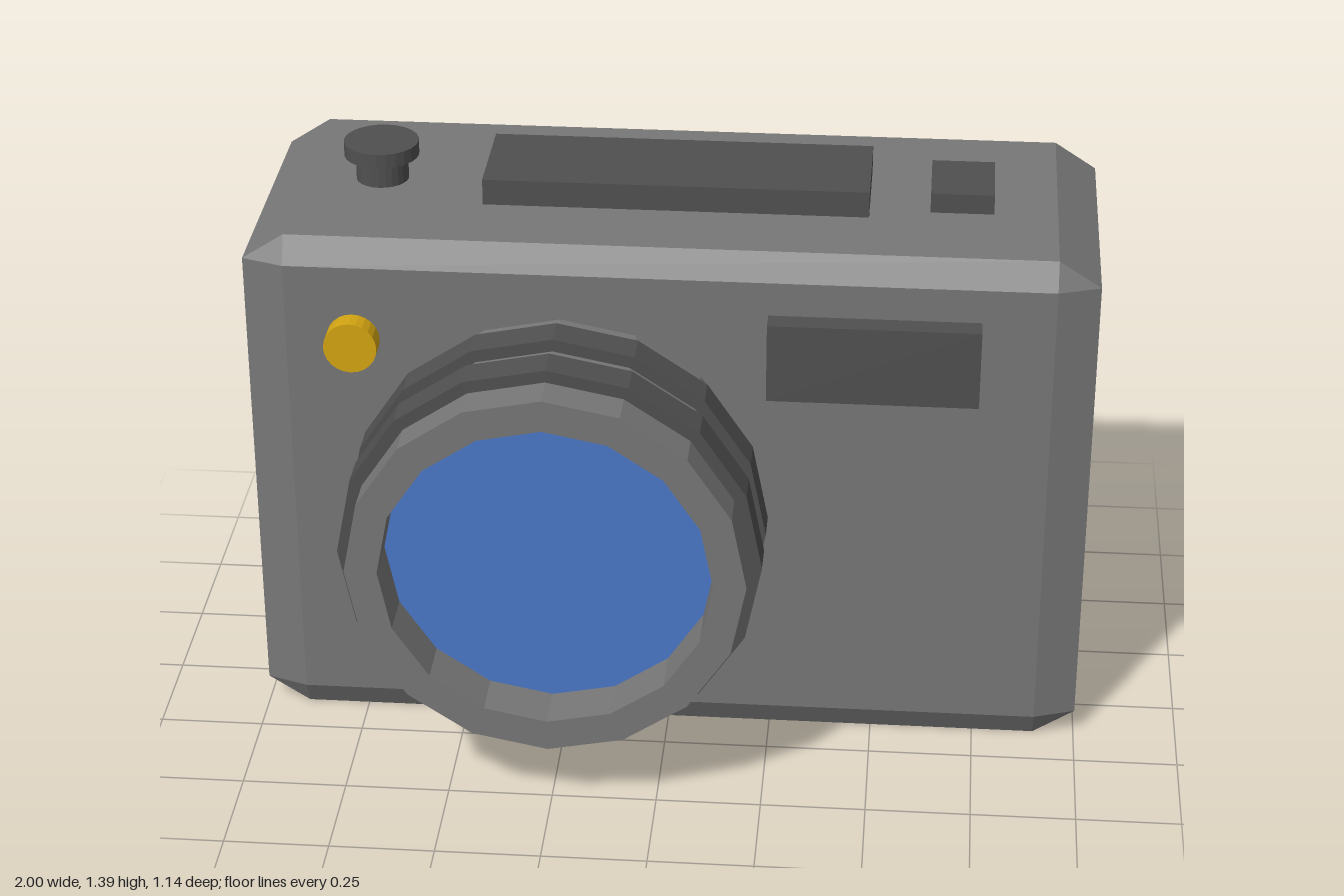
import * as THREE from 'three';
import { ConvexGeometry } from 'three/addons/geometries/ConvexGeometry.js';

const paint = (color) => new THREE.MeshStandardMaterial({ color, flatShading: true });

export function createModel() {
  const model = new THREE.Group();
  model.name = 'camera';
  const shell = paint(0x777777);
  const trim = paint(0x505050);
  const amber = paint(0xd4a512);
  const blue = paint(0x4b78c8);

  function add(name, geometry, material, x, y, z, parent = model) {
    const mesh = new THREE.Mesh(geometry, material);
    mesh.name = name;
    mesh.position.set(x, y, z);
    parent.add(mesh);
    return mesh;
  }

  // Box given by its lower and upper corners
  function block(name, material, x0, x1, y0, y1, z0, z1) {
    add(name, new THREE.BoxGeometry(x1 - x0, y1 - y0, z1 - z0), material,
      (x0 + x1) / 2, (y0 + y1) / 2, (z0 + z1) / 2);
  }

  // Chamfered body: three points per corner, each reaching one full face
  const half = [1, 0.644, 0.368];
  const cut = [0.1, 0.065, 0.035];
  const points = [];
  for (const sx of [-1, 1]) for (const sy of [-1, 1]) for (const sz of [-1, 1]) {
    for (let full = 0; full < 3; full++) {
      const [x, y, z] = half.map((h, axis) => (axis === full ? h : h - cut[axis]));
      points.push(new THREE.Vector3(sx * x, sy * y, sz * z));
    }
  }
  add('body', new ConvexGeometry(points), shell, 0, 0.644, -0.203);

  // Lens, turned so that its axis points forward
  const lens = new THREE.Group();
  lens.name = 'lens';
  lens.position.set(-0.25, 0.645, 0);
  lens.rotation.x = Math.PI / 2;
  model.add(lens);
  const barrel = [[0.465, 0.15], [0.465, 0.57], [0.388, 0.57], [0.388, 0.45]]
    .map(([r, h]) => new THREE.Vector2(r, h));
  const barrelMaterial = shell.clone();
  barrelMaterial.side = THREE.DoubleSide;
  add('lensBarrel', new THREE.LatheGeometry(barrel, 16), barrelMaterial, 0, 0, 0, lens);
  for (const h of [0.285, 0.437]) {
    // Open band with flat rims, so the recess in the barrel stays clear
    const band = [[0.46, -0.042], [0.495, -0.042], [0.495, 0.042], [0.46, 0.042]]
      .map(([r, y]) => new THREE.Vector2(r, y));
    add('gripRing', new THREE.LatheGeometry(band, 16), trim, 0, h, 0, lens);
  }
  const glass = add('lensGlass', new THREE.CircleGeometry(0.388, 16), blue, 0, 0.45, 0, lens);
  glass.rotation.x = -Math.PI / 2;

  // Front details
  block('viewfinder', trim, 0.235, 0.73, 0.945, 1.14, 0.155, 0.22);
  const lamp = add('timerLamp', new THREE.CylinderGeometry(0.063, 0.063, 0.06, 24), amber, -0.74, 1.04, 0.187);
  lamp.rotation.x = Math.PI / 2;

  // Top details
  block('topPlate', trim, -0.457, 0.457, 1.28, 1.352, -0.337, -0.07);
  block('topButton', trim, 0.6, 0.75, 1.28, 1.337, -0.3, -0.11);
  add('shutterStem', new THREE.CylinderGeometry(0.063, 0.063, 0.07, 24), trim, -0.716, 1.32, -0.205);
  add('shutterCap', new THREE.CylinderGeometry(0.09, 0.09, 0.035, 24), trim, -0.716, 1.368, -0.205);

  return model;
}
